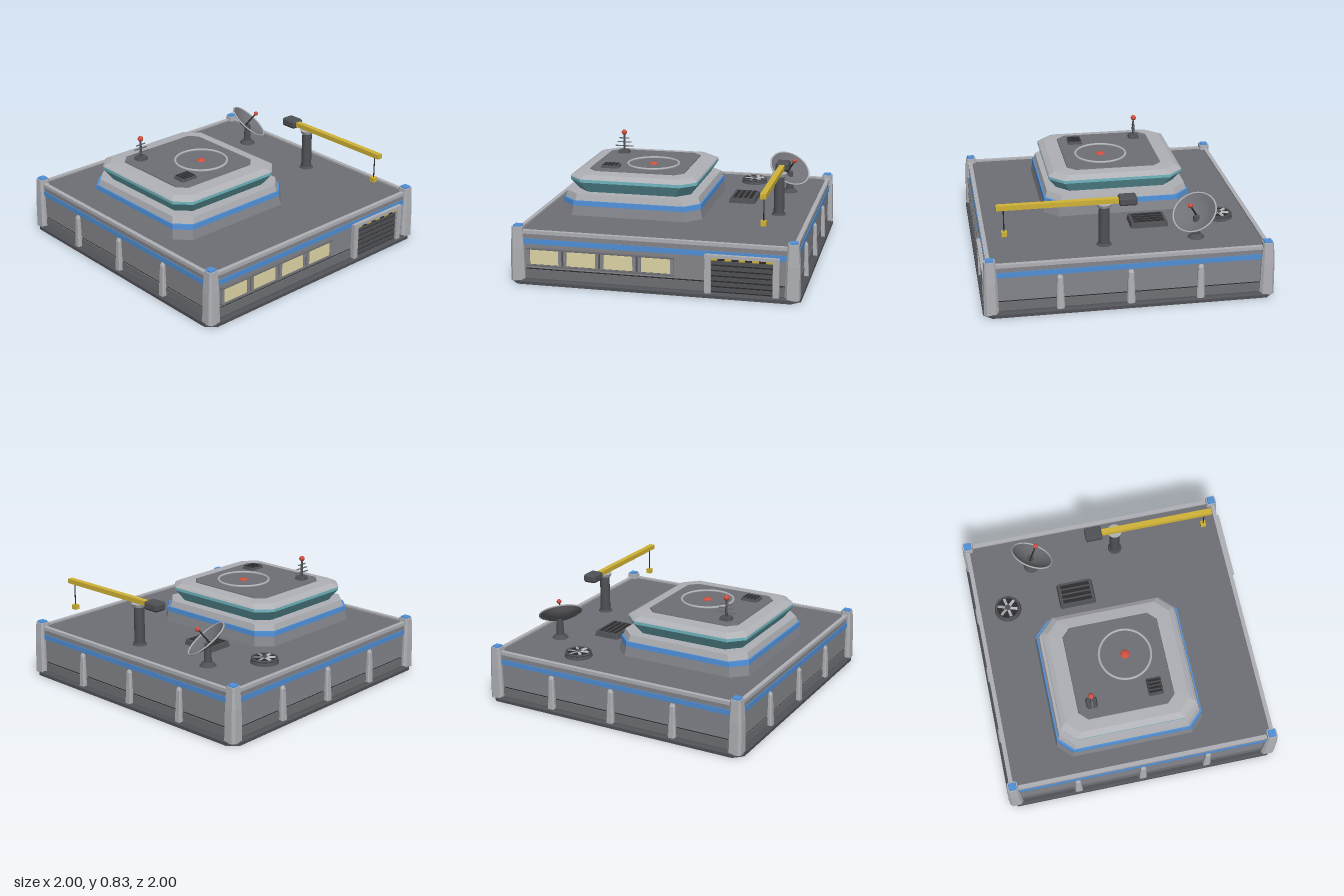
import * as THREE from 'three';

const mat = (name, color, side = THREE.FrontSide) => {
  const m = new THREE.MeshStandardMaterial({ color, side });
  m.name = name;
  return m;
};

// Stacked rectangles with cut corners; each level is [halfX, halfZ, cut, y]
function loft(levels) {
  const rings = levels.map(([x, z, c, y]) => [
    [-x + c, y, z], [x - c, y, z], [x, y, z - c], [x, y, -z + c],
    [x - c, y, -z], [-x + c, y, -z], [-x, y, -z + c], [-x, y, z - c]]);
  const p = [];
  const tri = (a, b, c) => p.push(...a, ...b, ...c);
  for (let k = 0; k < rings.length - 1; k++) {
    const a = rings[k], b = rings[k + 1];
    for (let i = 0; i < 8; i++) {
      const j = (i + 1) % 8;
      tri(a[i], a[j], b[j]);
      tri(a[i], b[j], b[i]);
    }
  }
  const lo = rings[0], hi = rings[rings.length - 1];
  for (let i = 1; i < 7; i++) {
    tri(hi[0], hi[i], hi[i + 1]);
    tri(lo[0], lo[i + 1], lo[i]);
  }
  const g = new THREE.BufferGeometry();
  g.setAttribute('position', new THREE.Float32BufferAttribute(p, 3));
  g.computeVertexNormals();
  return g;
}

export function createModel() {
  const hull = mat('hull grey', 0x85868c);
  const deck = mat('deck grey', 0x6f7075);
  const light = mat('light grey', 0xb0b1b6);
  const dark = mat('dark grey', 0x505156);
  const black = mat('black', 0x2c2c2f);
  const blue = mat('blue', 0x4f90d8);
  const teal = mat('teal glass', 0x72b8c2);
  const yellow = mat('yellow', 0xd2b437);
  const red = mat('red', 0xd2503f);
  const cream = mat('cream', 0xe0d7a6);
  const dishGrey = mat('deck grey', 0x6f7075, THREE.DoubleSide);

  const model = new THREE.Group();
  model.name = 'baseStation';
  const add = (parent, name, geo, m, x = 0, y = 0, z = 0) => {
    const mesh = new THREE.Mesh(geo, m);
    mesh.name = name;
    mesh.position.set(x, y, z);
    parent.add(mesh);
    return mesh;
  };
  const group = (name, x = 0, y = 0, z = 0) => {
    const g = new THREE.Group();
    g.name = name;
    g.position.set(x, y, z);
    model.add(g);
    return g;
  };
  const box = (w, h, d) => new THREE.BoxGeometry(w, h, d);
  const cyl = (rt, rb, h, n = 24) => new THREE.CylinderGeometry(rt, rb, h, n);
  const ball = (r) => new THREE.SphereGeometry(r, 20, 14);
  const square = (h, c, y0, y1) => loft([[h, h, c, y0], [h, h, c, y1]]);

  // Main building in horizontal bands
  add(model, 'plinth', loft([[1, 1, 0.06, 0], [1, 1, 0.06, 0.022], [0.985, 0.985, 0.06, 0.035]]), dark);
  add(model, 'skirt', square(0.962, 0.03, 0.03, 0.098), deck);
  add(model, 'skirtGroove', square(0.955, 0.03, 0.095, 0.112), black);
  add(model, 'wallPanel', square(0.96, 0.03, 0.108, 0.282), hull);
  add(model, 'blueStripe', square(0.967, 0.03, 0.28, 0.317), blue);
  add(model, 'upperWall', square(0.962, 0.03, 0.315, 0.352), hull);
  add(model, 'roofDeck', square(0.945, 0.03, 0.35, 0.362), deck);

  // Parapet and wall ribs, side by side around the building
  for (let s = 0; s < 4; s++) {
    const side = group('wallSide');
    side.rotation.y = s * Math.PI / 2;
    add(side, 'parapet', box(1.9, 0.024, 0.03), light, 0, 0.363, 0.952);
    if (s > 0) for (const x of [-0.48, 0, 0.48]) {
      add(side, 'wallRib', loft([[0.028, 0.03, 0.008, 0.03], [0.02, 0.02, 0.008, 0.255], [0.014, 0.01, 0.005, 0.272]]), light, x, 0, 0.96);
    }
  }

  // Corner posts with blue caps
  for (const x of [-0.945, 0.945]) for (const z of [-0.945, 0.945]) {
    add(model, 'cornerPost', loft([[0.05, 0.05, 0.018, 0.02], [0.046, 0.046, 0.016, 0.25], [0.036, 0.036, 0.01, 0.4]]), light, x, 0, z);
    add(model, 'cornerCap', loft([[0.028, 0.028, 0.004, 0.398], [0.026, 0.026, 0.004, 0.41]]), blue, x, 0, z);
  }

  // Front window strip
  const strip = group('windowStrip', -0.365, 0, 0.96);
  add(strip, 'windowBacking', box(1.0, 0.12, 0.012), dark, 0, 0.19, 0.002);
  for (const y of [0.132, 0.25]) add(strip, 'windowRail', box(1.03, 0.01, 0.03), deck, 0, y, 0.008);
  for (let i = 0; i < 4; i++) {
    const x = -0.39 + i * 0.26;
    add(strip, 'window', box(0.2, 0.1, 0.008), cream, x, 0.191, 0.011);
    for (const e of [-0.112, 0.112]) add(strip, 'mullion', box(0.022, 0.11, 0.02), hull, x + e, 0.191, 0.008);
  }

  // Garage door with slats, frame and hazard bar
  const door = group('garageDoor', 0.61, 0, 0.965);
  add(door, 'doorPanel', box(0.43, 0.24, 0.01), black, 0, 0.15, 0);
  for (let i = 0; i < 6; i++) add(door, 'doorSlat', box(0.42, 0.026, 0.012), dark, 0, 0.057 + i * 0.037, 0.004);
  for (const x of [-0.228, 0.228]) add(door, 'doorPost', box(0.042, 0.25, 0.045), light, x, 0.155, 0.004);
  add(door, 'lintel', box(0.5, 0.022, 0.05), light, 0, 0.288, 0.004);
  for (let i = 0; i < 9; i++) {
    add(door, 'hazardBlock', box(0.046, 0.02, 0.034), i % 2 ? black : yellow, -0.184 + i * 0.046, 0.27, 0.003);
  }

  // Command block: stepped tiers, glass band and roof
  const tower = group('commandBlock', -0.295, 0, -0.045);
  add(tower, 'lowerTier', loft([[0.515, 0.54, 0.1, 0.355], [0.5, 0.525, 0.1, 0.434]]), hull);
  add(tower, 'towerStripe', loft([[0.505, 0.53, 0.1, 0.432], [0.502, 0.527, 0.1, 0.467]]), blue);
  add(tower, 'middleTier', loft([[0.492, 0.517, 0.1, 0.465], [0.48, 0.505, 0.1, 0.512]]), light);
  add(tower, 'glassBand', loft([[0.41, 0.43, 0.09, 0.51], [0.463, 0.485, 0.1, 0.59], [0.463, 0.485, 0.1, 0.616]]), teal);
  add(tower, 'towerRoof', loft([[0.466, 0.488, 0.1, 0.613], [0.458, 0.48, 0.1, 0.622], [0.425, 0.445, 0.09, 0.64], [0.355, 0.355, 0.07, 0.645]]), light);
  add(tower, 'topPlate', loft([[0.35, 0.347, 0.06, 0.64], [0.346, 0.343, 0.06, 0.653]]), deck);

  // Landing ring and beacon
  const ring = add(model, 'landingRing', new THREE.TorusGeometry(0.186, 0.009, 10, 48), light, -0.225, 0.656, 0.02);
  ring.rotation.x = Math.PI / 2;
  add(model, 'beacon', ball(0.034), red, -0.225, 0.653, 0.02).scale.y = 0.35;

  // Slatted vents
  const vent = (x, y, z, w, d, h, n) => {
    const g = group('vent', x, y, z);
    add(g, 'ventBody', loft([[w / 2, d / 2, 0.01, 0], [w / 2 - 0.008, d / 2 - 0.008, 0.01, h]]), dark);
    const pitch = w * 0.8 / n;
    for (let i = 0; i < n; i++) {
      add(g, 'ventSlot', box(pitch * 0.65, 0.006, d * 0.8), black, (i - (n - 1) / 2) * pitch, h, 0);
    }
  };
  vent(0.415, 0.36, -0.215, 0.195, 0.27, 0.037, 4);
  vent(-0.503, 0.65, 0.175, 0.135, 0.11, 0.022, 4);

  // Roof fan
  const fan = group('roofFan', 0.4, 0.36, -0.735);
  add(fan, 'fanHousing', cyl(0.09, 0.1, 0.03, 32), dark, 0, 0.015);
  add(fan, 'fanWell', cyl(0.08, 0.08, 0.006, 32), black, 0, 0.03);
  const rim = add(fan, 'fanRim', new THREE.TorusGeometry(0.086, 0.008, 8, 32), dark, 0, 0.031);
  rim.rotation.x = Math.PI / 2;
  for (let i = 0; i < 6; i++) {
    const a = i * Math.PI / 3 + 0.2;
    const blade = add(fan, 'fanBlade', box(0.056, 0.006, 0.02), light, Math.cos(a) * 0.046, 0.036, -Math.sin(a) * 0.046);
    blade.rotation.set(0.35, a, 0, 'YXZ');
  }
  add(fan, 'fanHub', cyl(0.02, 0.022, 0.014), dark, 0, 0.037);

  // Antenna mast
  const mast = group('antenna', -0.53, 0.65, -0.285);
  add(mast, 'antennaBase', loft([[0.045, 0.042, 0.015, 0], [0.036, 0.034, 0.012, 0.025]]), dark);
  add(mast, 'antennaPole', cyl(0.007, 0.01, 0.15, 12), dark, 0, 0.08);
  [[0.14, 0.055], [0.11, 0.085], [0.08, 0.115]].forEach(([w, y]) => add(mast, 'crossBar', box(w, 0.007, 0.008), deck, 0, y));
  add(mast, 'antennaLight', ball(0.02), red, 0, 0.16);

  // Dish on its pedestal
  const stand = group('dishStand', 0.71, 0.36, -0.5);
  add(stand, 'dishFoot', cyl(0.035, 0.06, 0.03), dark, 0, 0.015);
  add(stand, 'dishColumn', cyl(0.022, 0.028, 0.14), dark, 0, 0.09);
  const dish = group('dish', 0.71, 0.548, -0.485);
  dish.quaternion.setFromUnitVectors(new THREE.Vector3(0, 1, 0), new THREE.Vector3(0.45, 0.77, 0.45).normalize());
  const bowl = [0, 0.25, 0.5, 0.75, 1].map((t) => new THREE.Vector2(0.155 * t, 0.05 * (t * t - 1)));
  add(dish, 'dishBowl', new THREE.LatheGeometry(bowl, 40), dishGrey);
  const dishRim = add(dish, 'dishRim', new THREE.TorusGeometry(0.155, 0.006, 8, 40), light);
  dishRim.rotation.x = Math.PI / 2;
  add(dish, 'feedRod', cyl(0.005, 0.007, 0.13, 10), black, 0, 0.015);
  add(dish, 'feedTip', ball(0.017), red, 0, 0.088);

  // Crane
  const crane = group('crane', 0.725, 0, 0.145);
  add(crane, 'craneFoot', cyl(0.045, 0.055, 0.02), dark, 0, 0.366);
  add(crane, 'craneColumn', cyl(0.036, 0.038, 0.29), dark, 0, 0.505);
  add(crane, 'craneCollar', cyl(0.054, 0.045, 0.022), light, 0, 0.654);
  add(crane, 'craneBoom', box(0.04, 0.034, 0.86), yellow, 0, 0.682, 0.3);
  add(crane, 'counterweight', loft([[0.042, 0.055, 0.006, 0.653], [0.048, 0.062, 0.008, 0.664], [0.048, 0.062, 0.008, 0.7], [0.042, 0.055, 0.006, 0.71]]), dark, 0, 0, -0.16);
  add(crane, 'craneCable', cyl(0.004, 0.004, 0.17, 8), black, 0, 0.585, 0.68);
  add(crane, 'craneHook', box(0.038, 0.034, 0.038), yellow, 0, 0.49, 0.68);

  return model;
}
